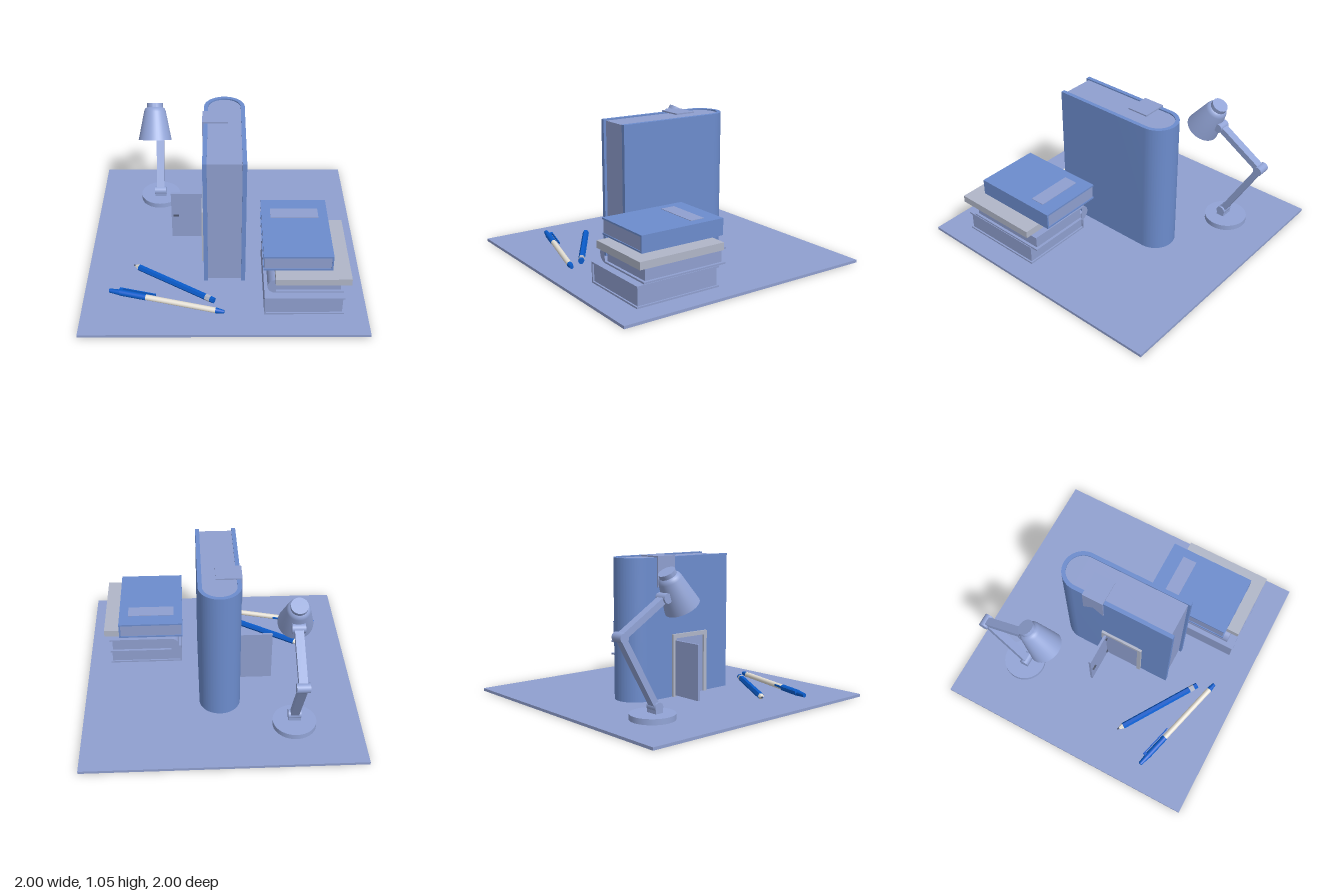
import * as THREE from 'three';
import { toCreasedNormals } from 'three/addons/utils/BufferGeometryUtils.js';

const mat = (name, color, side = THREE.FrontSide) => {
  const m = new THREE.MeshStandardMaterial({ color, side });
  m.name = name;
  return m;
};

export function createModel() {
  const pale = mat('pale periwinkle', 0x8f9fcf);
  const lampPaint = mat('lamp periwinkle', 0x92a4d6, THREE.DoubleSide);
  const cover = mat('cover blue', 0x6c8ccd);
  const grey = mat('cool grey', 0xb0b6c8);
  const blue = mat('strong blue', 0x0a5ccb);
  const ivory = mat('ivory', 0xe6e1d6);
  const dark = mat('graphite', 0x4a5268);

  const root = new THREE.Group();
  root.name = 'deskScene';

  const group = (name, parent = root) => {
    const g = new THREE.Group();
    g.name = name;
    parent.add(g);
    return g;
  };
  const add = (name, geo, material, parent) => {
    const m = new THREE.Mesh(geo, material);
    m.name = name;
    parent.add(m);
    return m;
  };
  // Box given by its minimum and maximum on each axis
  const box = (name, [x0, x1], [y0, y1], [z0, z1], material, parent) => {
    const m = add(name, new THREE.BoxGeometry(x1 - x0, y1 - y0, z1 - z0), material, parent);
    m.position.set((x0 + x1) / 2, (y0 + y1) / 2, (z0 + z1) / 2);
    return m;
  };
  // Shape drawn in (x, -z), raised from y0 to y1
  const prism = (name, shape, y0, y1, material, parent) => {
    const geo = new THREE.ExtrudeGeometry(shape, { depth: y1 - y0, bevelEnabled: false, curveSegments: 32 });
    geo.rotateX(-Math.PI / 2);
    const m = add(name, toCreasedNormals(geo, 0.5), material, parent);
    m.position.y = y0;
    return m;
  };

  box('deskMat', [-1, 1], [0, 0.02], [-1, 1], pale, root);

  // Tall standing book with a rounded spine at the back
  const tall = group('standingBook');
  const cx = 0.005, bend = 0.32;
  const jacket = new THREE.Shape();
  jacket.moveTo(cx + 0.15, -0.45);
  jacket.lineTo(cx + 0.15, bend);
  jacket.absarc(cx, bend, 0.15, 0, Math.PI, false);
  jacket.lineTo(cx - 0.15, -0.45);
  jacket.lineTo(cx - 0.12, -0.45);
  jacket.lineTo(cx - 0.12, bend);
  jacket.absarc(cx, bend, 0.12, Math.PI, 0, true);
  jacket.lineTo(cx + 0.12, -0.45);
  jacket.closePath();
  prism('tallCover', jacket, 0.02, 1.04, cover, tall);
  const block = new THREE.Shape();
  block.moveTo(cx - 0.12, -0.43);
  block.lineTo(cx + 0.12, -0.43);
  block.lineTo(cx + 0.12, bend);
  block.absarc(cx, bend, 0.12, 0, Math.PI, false);
  block.closePath();
  prism('tallPages', block, 0.03, 1.03, pale, tall);

  // Ribbon over the top edge, with a notched tail on the side
  const ribbon = group('ribbon', tall);
  box('ribbonTop', [-0.155, 0.03], [1.04, 1.05], [-0.24, -0.08], pale, ribbon);
  const tail = new THREE.Shape([[-0.08, 1.05], [-0.24, 1.05], [-0.24, 0.83], [-0.16, 0.9], [-0.08, 0.83]]
    .map(([z, y]) => new THREE.Vector2(-z, y)));
  const tailGeo = new THREE.ExtrudeGeometry(tail, { depth: 0.01, bevelEnabled: false });
  tailGeo.rotateY(Math.PI / 2);
  add('ribbonTail', tailGeo, pale, ribbon).position.x = -0.155;

  // Little doorway in the book's side, door standing open
  const door = group('doorway', tall);
  for (const [z0, z1] of [[-0.1, -0.07], [0.2, 0.23]])
    box('doorPost', [-0.163, -0.145], [0.02, 0.48], [z0, z1], grey, door);
  box('doorLintel', [-0.163, -0.145], [0.45, 0.48], [-0.07, 0.2], grey, door);
  box('doorOpening', [-0.15, -0.144], [0.02, 0.45], [-0.07, 0.2], pale, door);
  box('doorLeaf', [-0.4, -0.16], [0.03, 0.435], [-0.08, -0.062], pale, door);
  box('doorHandle', [-0.385, -0.345], [0.23, 0.238], [-0.062, -0.05], dark, door);
  for (const y of [0.08, 0.37])
    box('doorHinge', [-0.17, -0.155], [y - 0.015, y + 0.015], [-0.066, -0.056], dark, door);

  // Lying book: spine at -x (or +x), pages set back on the other edges
  const lyingBook = (name, x, y, z, material, { spine = -1, round = false, inset = 0.015 } = {}) => {
    const g = group(name);
    const t = 0.012, h = y[1] - y[0], r = h / 2;
    const bx = round ? [x[0] + r, x[1]] : x;
    box('bottomCover', bx, [y[0], y[0] + t], z, material, g);
    box('topCover', bx, [y[1] - t, y[1]], z, material, g);
    const px = spine < 0 ? [bx[0] + (round ? 0 : t), x[1] - inset] : [x[0] + inset, x[1] - t];
    box('pages', px, [y[0] + t, y[1] - t], [z[0] + inset, z[1] - inset], pale, g);
    if (round) {
      const back = new THREE.CylinderGeometry(r, r, z[1] - z[0], 24, 1, false, Math.PI, Math.PI);
      back.rotateX(Math.PI / 2);
      add('roundSpine', back, material, g).position.set(bx[0], (y[0] + y[1]) / 2, (z[0] + z[1]) / 2);
    } else {
      const sx = spine < 0 ? [x[0], x[0] + t] : [x[1] - t, x[1]];
      box('spine', sx, [y[0] + t, y[1] - t], z, material, g);
    }
    return g;
  };
  lyingBook('bottomBook', [0.28, 0.835], [0.02, 0.17], [0.15, 0.8], pale, { inset: 0.012 });
  lyingBook('secondBook', [0.3, 0.83], [0.17, 0.287], [0.09, 0.743], pale, { round: true, inset: 0.02 });
  box('greyBook', [0.352, 0.87], [0.287, 0.34], [0.14, 0.8], grey, root);
  const top = lyingBook('topBook', [0.27, 0.748], [0.34, 0.46], [0.05, 0.705], cover, { spine: 1, inset: 0.006 });
  box('titlePlate', [0.335, 0.68], [0.46, 0.463], [0.16, 0.27], pale, top);

  // Desk lamp
  const lamp = group('deskLamp');
  const lx = -0.52;
  add('lampBase', new THREE.CylinderGeometry(0.157, 0.157, 0.04, 48), lampPaint, lamp).position.set(lx, 0.04, -0.6);
  box('lampFoot', [lx - 0.045, lx + 0.045], [0.06, 0.1], [-0.61, -0.55], lampPaint, lamp);
  const joints = [[0.1, -0.58], [0.59, -0.86], [0.81, -0.5]].map(([y, z]) => new THREE.Vector3(lx, y, z));
  joints.forEach((p) => {
    const geo = new THREE.CylinderGeometry(0.034, 0.034, 0.092, 24);
    geo.rotateZ(Math.PI / 2);
    add('lampJoint', geo, lampPaint, lamp).position.copy(p);
  });
  for (let i = 0; i < 2; i++) {
    const a = joints[i], b = joints[i + 1];
    const arm = add('lampArm', new THREE.BoxGeometry(0.06, 0.045, a.distanceTo(b)), lampPaint, lamp);
    arm.position.copy(a).add(b).multiplyScalar(0.5);
    arm.lookAt(b);
  }
  // Open shade, tilted forward from its rim centre
  const shade = group('lampShade', lamp);
  shade.position.set(lx, 0.74, -0.34);
  shade.rotation.x = -Math.PI / 6;
  const profile = [[0.125, 0], [0.082, 0.215], [0.074, 0.236], [0.06, 0.246], [0.06, 0.277], [0, 0.277]]
    .map(([r, y]) => new THREE.Vector2(r, y));
  add('shade', toCreasedNormals(new THREE.LatheGeometry(profile, 40), 0.6), lampPaint, shade);
  add('bulb', new THREE.SphereGeometry(0.045, 20, 14), lampPaint, shade).position.y = 0.13;

  // Pen and pencil: pieces laid end to end along local +x
  const rod = (name, [x0, z0], [x1, z1], y, sides, pieces) => {
    const g = group(name);
    g.position.set(x0, y, z0);
    g.rotation.y = -Math.atan2(z1 - z0, x1 - x0);
    let at = 0;
    for (const [part, length, r0, r1, material] of pieces) {
      let geo = new THREE.CylinderGeometry(r1, r0, length, sides);
      if (sides < 10) geo = toCreasedNormals(geo, 0.3);
      geo.rotateZ(-Math.PI / 2);
      add(part, geo, material, g).position.x = at + length / 2;
      at += length;
    }
    return g;
  };
  rod('pencil', [-0.67, 0.3], [-0.07, 0.685], 0.043, 6, [
    ['lead', 0.018, 0.002, 0.008, dark],
    ['sharpenedWood', 0.035, 0.008, 0.023, ivory],
    ['pencilBody', 0.59, 0.024, 0.024, blue],
    ['ferrule', 0.04, 0.024, 0.024, grey],
    ['eraser', 0.03, 0.022, 0.022, blue],
  ]);
  const pen = rod('pen', [-0.82, 0.58], [0, 0.8], 0.044, 20, [
    ['penEnd', 0.08, 0.015, 0.021, blue],
    ['penCap', 0.195, 0.023, 0.023, blue],
    ['penBarrel', 0.515, 0.02, 0.02, ivory],
    ['penTip', 0.06, 0.021, 0.013, blue],
  ]);
  box('penClip', [0.07, 0.34], [0.003, 0.017], [-0.035, -0.028], blue, pen);
  box('clipBridge', [0.07, 0.095], [0.003, 0.017], [-0.03, -0.01], blue, pen);

  return root;
}
